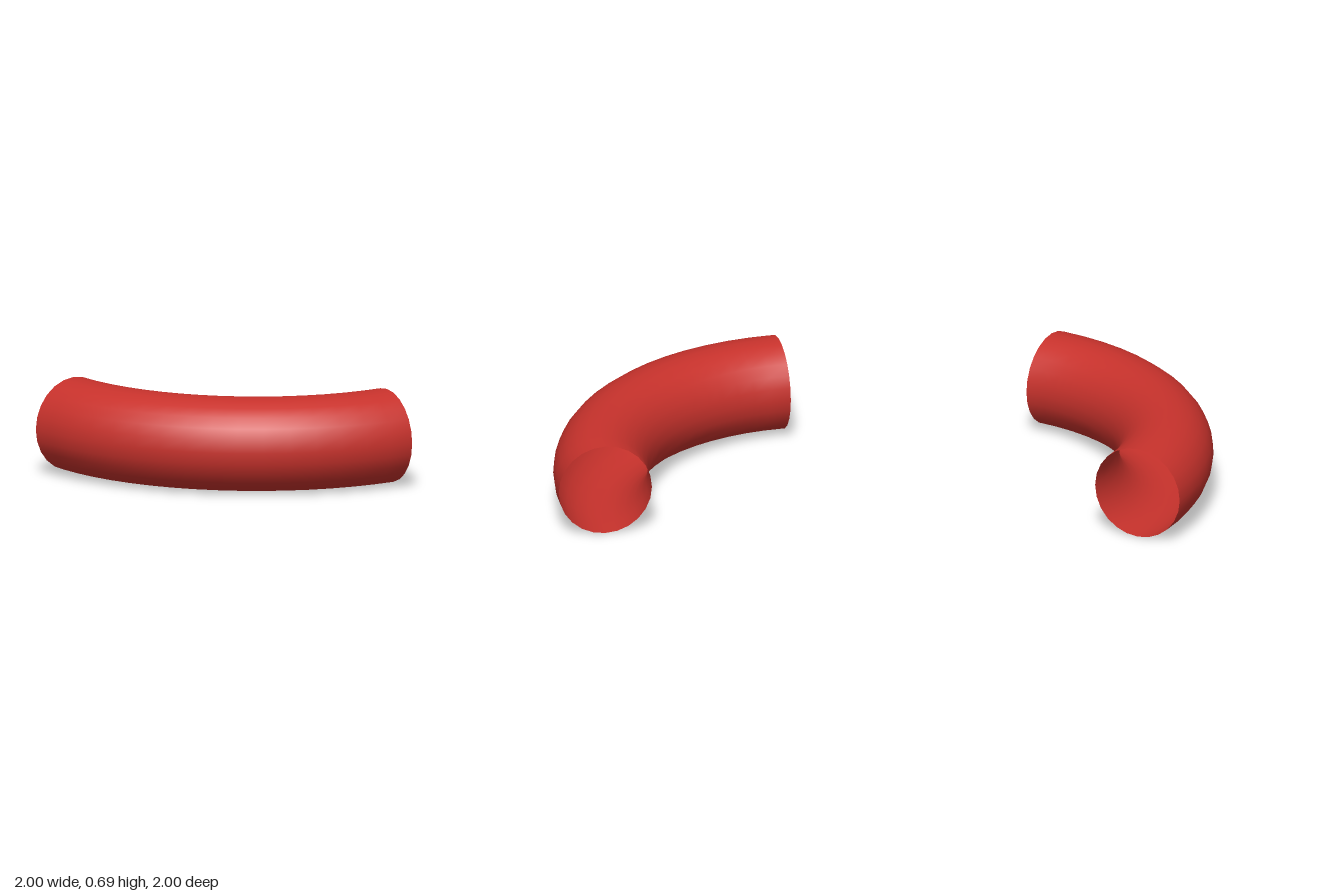
import * as THREE from 'three';

const BEND_RADIUS = 1.639, PIPE_RADIUS = 0.3438, BEND_CENTRE = -0.983;
const STEPS = 16, SIDES = 24;

// Sweep a circular section through a quarter turn, sharing vertices so it shades smoothly
function bentPipe() {
  const positions = [], indices = [];
  const step = Math.PI / 2 / STEPS;
  for (let i = 0; i <= STEPS; i++) {
    const turn = i * step;
    // the two open ends are cut square to their first and last chord
    const facing = turn + (i === 0 ? step / 2 : i === STEPS ? -step / 2 : 0);
    for (let j = 0; j < SIDES; j++) {
      const a = (j / SIDES) * Math.PI * 2;
      const out = PIPE_RADIUS * Math.cos(a);
      positions.push(
        BEND_CENTRE + BEND_RADIUS * Math.cos(turn) + out * Math.cos(facing),
        PIPE_RADIUS + PIPE_RADIUS * Math.sin(a),
        BEND_CENTRE + BEND_RADIUS * Math.sin(turn) + out * Math.sin(facing)
      );
      if (i < STEPS) {
        const k = (j + 1) % SIDES, p = i * SIDES, q = p + SIDES;
        indices.push(p + j, p + k, q + j, p + k, q + k, q + j);
      }
    }
  }
  const geometry = new THREE.BufferGeometry();
  geometry.setAttribute('position', new THREE.Float32BufferAttribute(positions, 3));
  geometry.setIndex(indices);
  geometry.computeVertexNormals();
  return geometry;
}

export function createModel() {
  const group = new THREE.Group();
  group.name = 'pipeBend';
  // Open-ended thin wall, seen from inside and outside
  const material = new THREE.MeshStandardMaterial({ color: 0xc8322c, side: THREE.DoubleSide });
  const pipe = new THREE.Mesh(bentPipe(), material);
  pipe.name = 'curvedPipe';
  group.add(pipe);
  return group;
}
